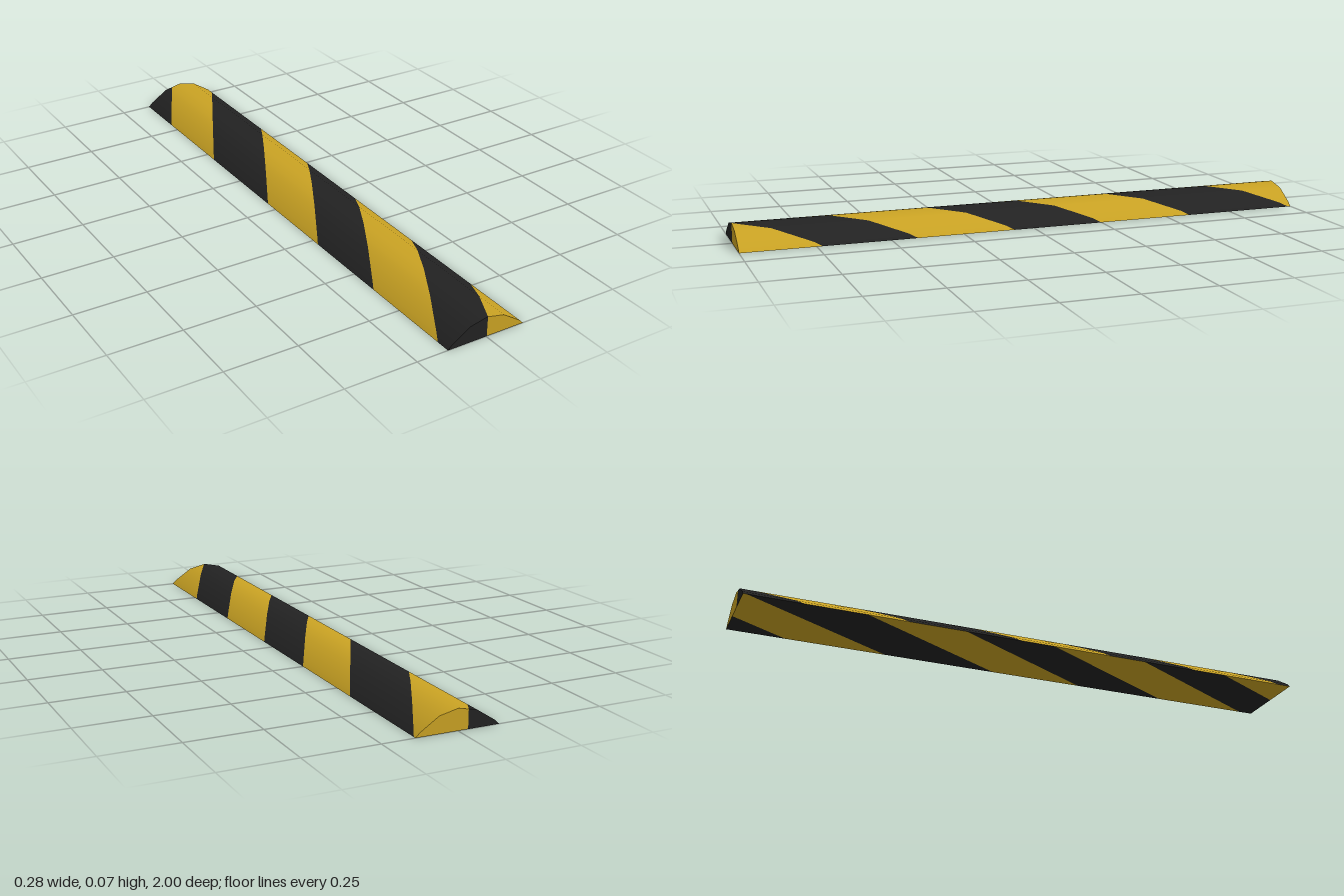
import * as THREE from 'three';

const W = 0.14, L = 1;

// Half-hump cross-section [x, y]
const PROFILE = [[-W, 0], [-0.126, 0.014], [-0.063, 0.055], [0, 0.069], [0.063, 0.055], [0.126, 0.014], [W, 0]];

// Diagonal stripe boundaries: [z at x = -W, z at x = +W]; black comes first
const EDGES = [[-0.80, -1.33], [-0.45, -0.99], [-0.05, -0.59], [0.28, -0.25], [0.61, 0.07], [0.95, 0.41], [1.28, 0.73]];

const edgeZ = ([a, b], x) => a + (b - a) * (x + W) / (2 * W);
const clampZ = z => Math.max(-L, Math.min(L, z));

// Smooth normal at every profile point
const segNormal = i => {
  const [a, b] = [PROFILE[i], PROFILE[i + 1]];
  return new THREE.Vector2(a[1] - b[1], b[0] - a[0]).normalize();
};
const NORMALS = PROFILE.map((_, i) => {
  const n = segNormal(Math.min(i, PROFILE.length - 2));
  return n.add(segNormal(Math.max(i - 1, 0))).normalize();
});

// Height and normal of the hump at x
function humpAt(x) {
  let i = 0;
  while (i < PROFILE.length - 2 && x > PROFILE[i + 1][0]) i++;
  const [a, b] = [PROFILE[i], PROFILE[i + 1]];
  const t = (x - a[0]) / (b[0] - a[0]);
  const n = NORMALS[i].clone().lerp(NORMALS[i + 1], t).normalize();
  return { y: a[1] + (b[1] - a[1]) * t, n: [n.x, n.y, 0] };
}

// Gathers quads into one surface
class Patch {
  pos = [];
  nor = [];
  quad(points, normals) {
    for (const k of [0, 1, 2, 0, 2, 3]) {
      this.pos.push(...points[k]);
      this.nor.push(...normals[k]);
    }
  }
  mesh(name, material) {
    const g = new THREE.BufferGeometry();
    g.setAttribute('position', new THREE.Float32BufferAttribute(this.pos, 3));
    g.setAttribute('normal', new THREE.Float32BufferAttribute(this.nor, 3));
    const m = new THREE.Mesh(g, material);
    m.name = name;
    return m;
  }
}

export function createModel() {
  const group = new THREE.Group();
  group.name = 'speedBump';
  const black = new THREE.MeshStandardMaterial({ color: 0x222222 });
  black.name = 'black rubber';
  const yellow = new THREE.MeshStandardMaterial({ color: 0xc9a223 });
  yellow.name = 'safety yellow';
  const materials = [black, yellow];

  // Cuts across the width: profile corners plus where stripes meet the ends
  const xs = PROFILE.map(p => p[0]);
  for (const [a, b] of EDGES) {
    for (const end of [-L, L]) {
      const x = -W + 2 * W * (end - a) / (b - a);
      if (x > -W && x < W) xs.push(x);
    }
  }
  xs.sort((a, b) => a - b);

  const hump = [new Patch(), new Patch()];
  const base = [new Patch(), new Patch()];
  const ends = [new Patch(), new Patch()];
  const stripes = [[-9, -9], ...EDGES, [9, 9]];
  const down = Array(4).fill([0, -1, 0]);

  for (let i = 0; i < xs.length - 1; i++) {
    const [x0, x1] = [xs[i], xs[i + 1]];
    const [p0, p1] = [humpAt(x0), humpAt(x1)];

    // Striped hump, and the underside with the same stripes mirrored
    for (let s = 0; s < stripes.length - 1; s++) {
      const z = [[x0, s], [x0, s + 1], [x1, s + 1], [x1, s]].map(([x, k]) => clampZ(edgeZ(stripes[k], x)));
      if (z[1] - z[0] < 1e-6 && z[2] - z[3] < 1e-6) continue;
      hump[s % 2].quad(
        [[x0, p0.y, z[0]], [x0, p0.y, z[1]], [x1, p1.y, z[2]], [x1, p1.y, z[3]]],
        [p0.n, p0.n, p1.n, p1.n]);
      base[s % 2].quad([[-x0, 0, z[0]], [-x0, 0, z[1]], [-x1, 0, z[2]], [-x1, 0, z[3]]], down);
    }

    // Flat ends, coloured by the stripe that reaches them
    for (const side of [-1, 1]) {
      const z = side * L;
      const colour = EDGES.filter(e => edgeZ(e, (x0 + x1) / 2) < z).length % 2;
      const q = [[x0, 0, z], [x1, 0, z], [x1, p1.y, z], [x0, p0.y, z]];
      ends[colour].quad(side > 0 ? q : q.reverse(), Array(4).fill([0, 0, side]));
    }
  }

  materials.forEach((m, c) => {
    const tone = ['Black', 'Yellow'][c];
    group.add(hump[c].mesh('hump' + tone, m), base[c].mesh('base' + tone, m), ends[c].mesh('ends' + tone, m));
  });
  return group;
}
